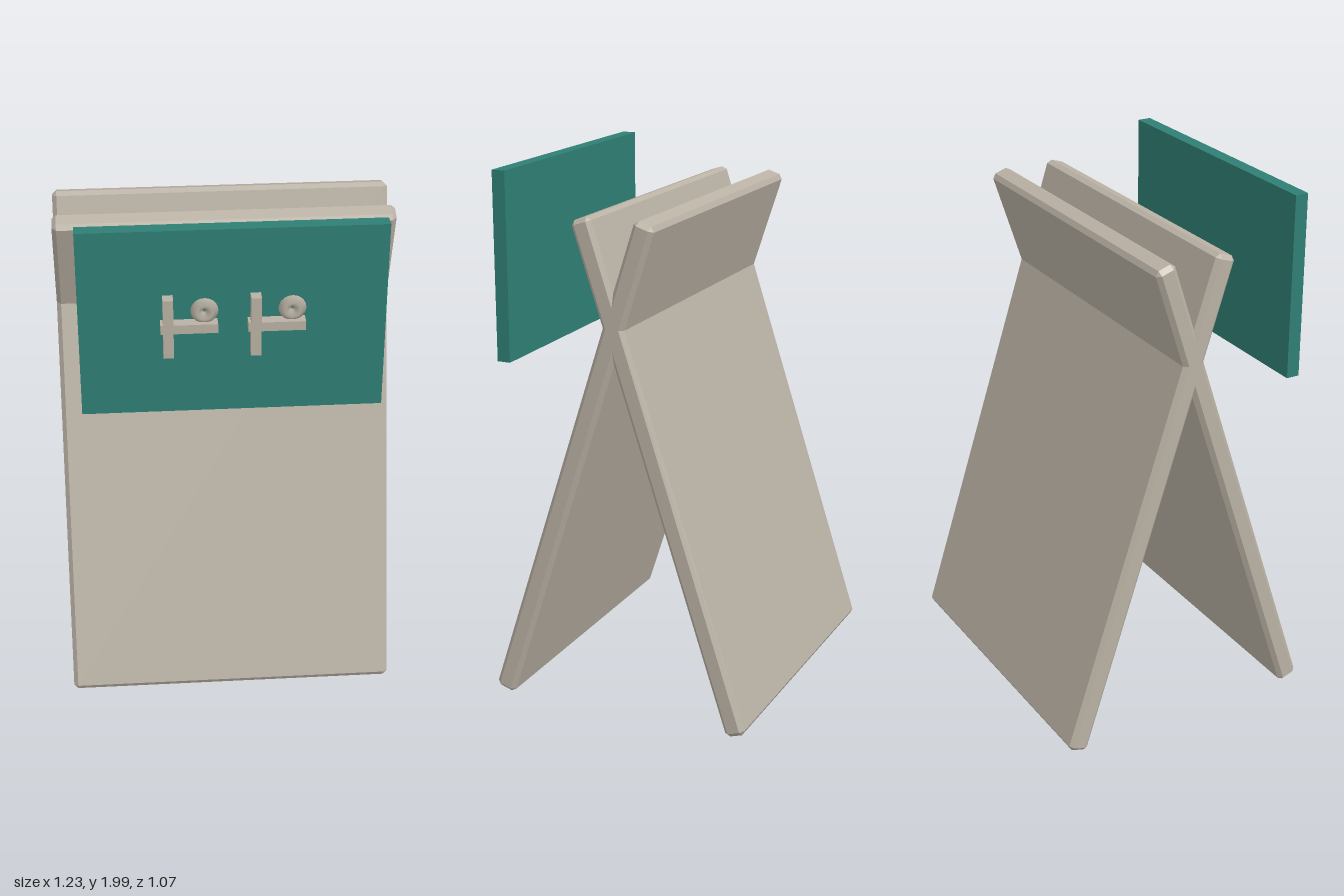
import * as THREE from 'three';
import { ConvexGeometry } from 'three/addons/geometries/ConvexGeometry.js';

const grey = new THREE.MeshStandardMaterial({ color: 0xb9b1a4 });
const green = new THREE.MeshStandardMaterial({ color: 0x2f7f74 });

// Box with every edge chamfered by b
function chamferBox(w, h, d, b) {
  const half = [w / 2, h / 2, d / 2];
  const points = [];
  for (const sx of [-1, 1]) for (const sy of [-1, 1]) for (const sz of [-1, 1]) {
    for (let axis = 0; axis < 3; axis++) {
      const c = half.map((v, i) => (i === axis ? v : v - b));
      points.push(new THREE.Vector3(sx * c[0], sy * c[1], sz * c[2]));
    }
  }
  return new ConvexGeometry(points);
}

function addMesh(parent, name, geometry, material, x, y, z) {
  const mesh = new THREE.Mesh(geometry, material);
  mesh.name = name;
  mesh.position.set(x, y, z);
  parent.add(mesh);
  return mesh;
}

export function createModel() {
  const model = new THREE.Group();
  model.name = 'crossedPanelStand';

  // Two leaning panels that cross near the top
  const panel = chamferBox(1.234, 1.95, 0.08, 0.016);
  const lean = THREE.MathUtils.degToRad(18);
  for (const s of [1, -1]) {
    const mesh = addMesh(model, s > 0 ? 'frontPanel' : 'backPanel', panel, grey, 0, 0.94, -0.022 + s * 0.177);
    mesh.rotation.x = -s * lean;
  }

  // Sign board in front
  addMesh(model, 'signBoard', new THREE.BoxGeometry(1.064, 0.706, 0.052), green, 0, 1.647, 0.464);

  // Two raised emblems: upright, crossbar and ring
  const upright = new THREE.BoxGeometry(0.036, 0.224, 0.044);
  const crossbar = new THREE.BoxGeometry(0.198, 0.034, 0.044);
  const ring = new THREE.TorusGeometry(0.026, 0.022, 4, 20);
  for (const x of [-0.152, 0.15]) {
    const emblem = new THREE.Group();
    emblem.name = x < 0 ? 'rightEmblem' : 'leftEmblem';
    emblem.position.set(x, 1.646, 0.511);
    addMesh(emblem, 'upright', upright, grey, -0.072, 0, 0);
    addMesh(emblem, 'crossbar', crossbar, grey, 0, 0, 0);
    addMesh(emblem, 'ring', ring, grey, 0.053, 0.06, 0);
    model.add(emblem);
  }
  return model;
}
